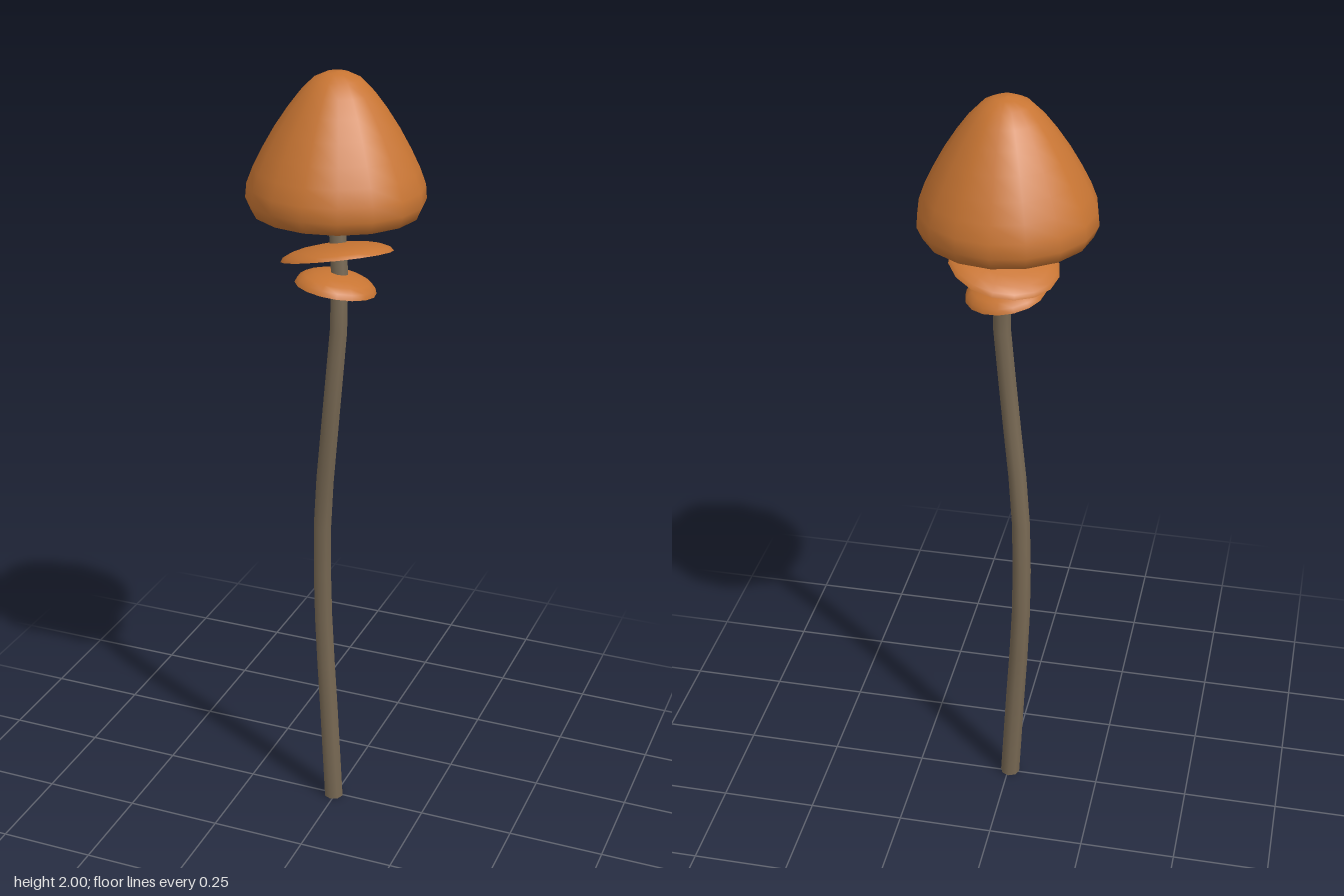
import * as THREE from 'three';

const capMaterial = new THREE.MeshStandardMaterial({ color: 0xc87533, side: THREE.DoubleSide });
capMaterial.name = 'orange cap';
const stemMaterial = new THREE.MeshStandardMaterial({ color: 0x776853 });
stemMaterial.name = 'grey brown stem';

const vec2 = ([x, y]) => new THREE.Vector2(x, y);

// Turned part whose base plane rises by slopeX along x and slopeZ along z
function turned(name, profile, sides, position, slopeX, slopeZ) {
  const mesh = new THREE.Mesh(new THREE.LatheGeometry(profile.map(vec2), sides), capMaterial);
  mesh.name = name;
  mesh.position.set(...position);
  const up = new THREE.Vector3(-slopeX, 1, -slopeZ).normalize();
  mesh.quaternion.setFromUnitVectors(new THREE.Vector3(0, 1, 0), up);
  return mesh;
}

// Shallow open dome around the stem
function ring(name, radius, height, position, slopeX, slopeZ) {
  const profile = [];
  for (let i = 0; i <= 5; i++) {
    const t = (i / 5) * Math.PI / 2;
    profile.push([radius * Math.cos(t), height * Math.sin(t)]);
  }
  return turned(name, profile, 16, position, slopeX, slopeZ);
}

// Gently bent stem, tapering upwards
function stem() {
  const path = new THREE.CatmullRomCurve3([
    [-0.005, 0, 0.004], [-0.02, 0.28, 0.002], [-0.034, 0.56, 0.003], [-0.029, 0.85, 0.019],
    [0.003, 1.15, 0.043], [0.026, 1.45, 0.04], [0.008, 1.7, 0.018], [0, 1.93, 0],
  ].map(p => new THREE.Vector3(...p)));
  const rows = 14, sides = 8;
  const geometry = new THREE.TubeGeometry(path, rows, 1, sides, false);
  const pos = geometry.attributes.position;
  const point = new THREE.Vector3();
  for (let i = 0; i < pos.count; i++) {
    const t = Math.floor(i / (sides + 1)) / rows;
    const centre = path.getPointAt(t);
    point.fromBufferAttribute(pos, i).sub(centre).multiplyScalar(0.026 - 0.005 * t).add(centre);
    pos.setXYZ(i, point.x, i <= sides ? 0 : point.y, point.z);
  }
  const mesh = new THREE.Mesh(geometry, stemMaterial);
  mesh.name = 'stem';
  return mesh;
}

export function createModel() {
  const group = new THREE.Group();
  group.name = 'mushroom';
  group.add(stem());

  // Stem foot
  const foot = new THREE.Mesh(new THREE.CircleGeometry(0.026, 8), stemMaterial);
  foot.name = 'stemFoot';
  foot.rotation.x = Math.PI / 2;
  foot.position.set(-0.005, 0, 0.004);
  group.add(foot);

  // Hollow cap: inside from the crown down, round the lip, then up the outside
  const cap = turned('cap', [
    [0, 0.285], [0.08, 0.25], [0.14, 0.16], [0.175, 0.06], [0.185, 0.015], [0.203, 0],
    [0.216, 0.03], [0.213, 0.065], [0.198, 0.105], [0.176, 0.15], [0.148, 0.2], [0.117, 0.247],
    [0.088, 0.285], [0.058, 0.315], [0.028, 0.329], [0, 0.332],
  ], 16, [0, 1.668, 0], -0.01, 0.008);
  group.add(cap);

  group.add(ring('upperRing', 0.136, 0.033, [0.017, 1.565, 0.035], 0.19, 0.19));
  group.add(ring('lowerRing', 0.1, 0.041, [0.013, 1.486, 0.035], -0.13, 0.1));
  return group;
}
